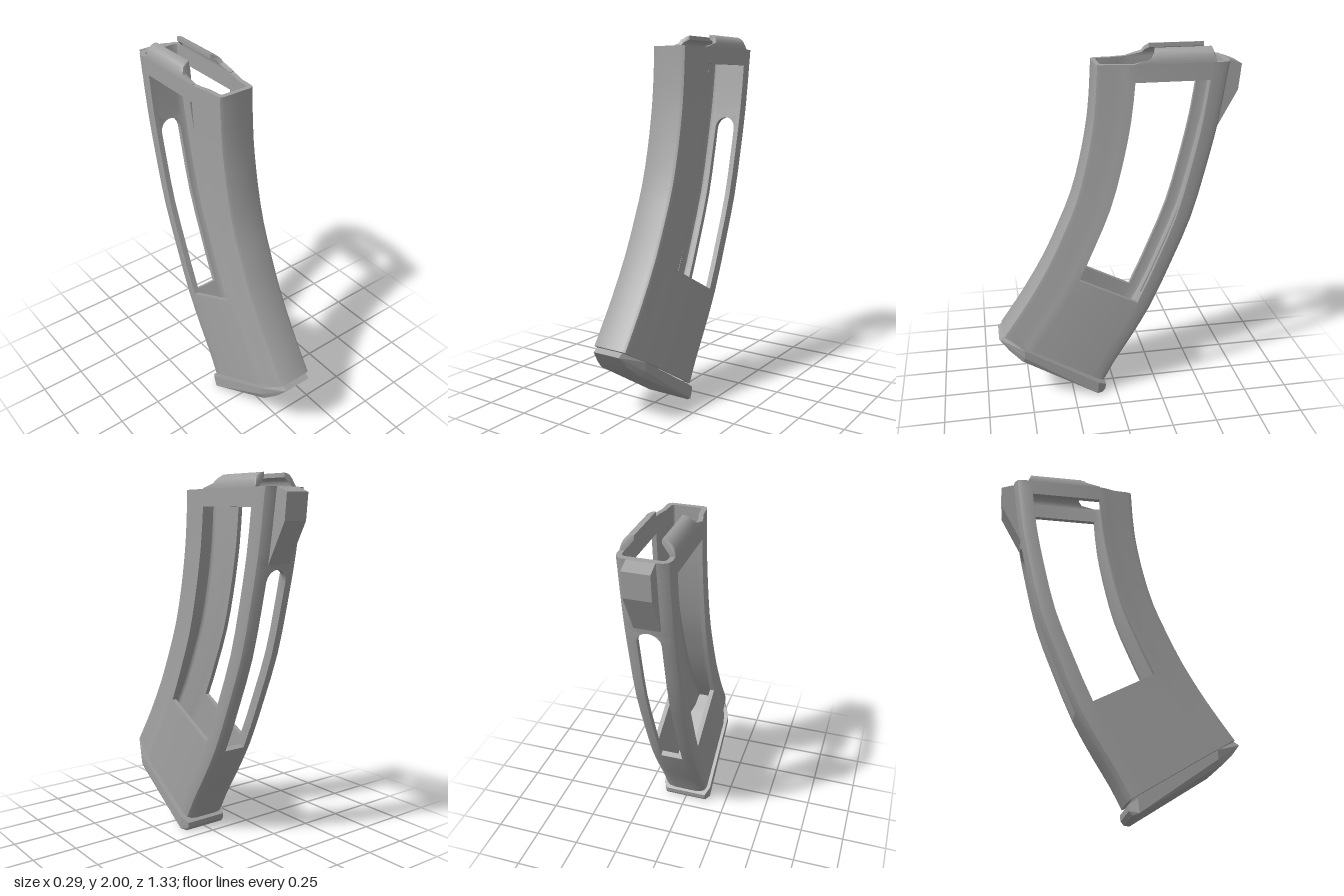
import * as THREE from 'three';
import { toCreasedNormals } from 'three/addons/utils/BufferGeometryUtils.js';
import { ConvexGeometry } from 'three/addons/geometries/ConvexGeometry.js';

// Thick-walled grid surface: rows run down, columns run right as seen from outside.
// point(i, j, inner) gives a corner, solid(i, j) tells whether a cell is filled.
function thickShell(rows, cols, point, solid, wrap) {
  const pos = [];
  const quad = (a, b, c, d) => {
    for (const p of [a, b, c, a, c, d]) pos.push(p.x, p.y, p.z);
  };
  const filled = (i, j) => {
    if (wrap) j = (j + cols) % cols;
    return i >= 0 && j >= 0 && i < rows && j < cols && solid(i, j);
  };
  for (let i = 0; i < rows; i++) {
    for (let j = 0; j < cols; j++) {
      if (!filled(i, j)) continue;
      const corners = [[i, j], [i + 1, j], [i + 1, j + 1], [i, j + 1]];
      const o = corners.map(([r, c]) => point(r, c, false));
      const n = corners.map(([r, c]) => point(r, c, true));
      quad(...o);
      quad(n[3], n[2], n[1], n[0]);
      // close the wall thickness along open edges
      const next = [[i, j - 1], [i + 1, j], [i, j + 1], [i - 1, j]];
      next.forEach(([r, c], k) => {
        const m = (k + 1) % 4;
        if (!filled(r, c)) quad(o[m], o[k], n[k], n[m]);
      });
    }
  }
  const g = new THREE.BufferGeometry();
  g.setAttribute('position', new THREE.Float32BufferAttribute(pos, 3));
  return toCreasedNormals(g, 0.6);
}

const curve = pts => new THREE.CatmullRomCurve3(pts.map(([z, y]) => new THREE.Vector3(0, y, z)));

// Curved front and back edges of the body, paired as [z, y]
const frontEdge = curve([[0.106, 1.93], [0.11, 1.84], [0.125, 1.65], [0.17, 1.4], [0.225, 1.2],
  [0.295, 1.03], [0.381, 0.845], [0.5, 0.64], [0.6, 0.49], [0.645, 0.425]]);
const backEdge = curve([[-0.593, 1.93], [-0.58, 1.84], [-0.548, 1.62], [-0.485, 1.33], [-0.42, 1.08],
  [-0.32, 0.82], [-0.2, 0.54], [-0.09, 0.345], [0.005, 0.19], [0.065, 0.075]]);

// Half cross-section: [fraction from front to back, half width]
const outerHalf = [[0, 0], [0, 0.082], [0.012, 0.098], [0.04, 0.104], [0.15, 0.108], [0.22, 0.122],
  [0.29, 0.13], [0.855, 0.13], [0.93, 0.13], [0.97, 0.122], [0.992, 0.1], [1, 0.063], [1, 0]];
const innerHalf = [[0.035, 0], [0.035, 0.068], [0.045, 0.076], [0.06, 0.079], [0.15, 0.083], [0.22, 0.097],
  [0.29, 0.105], [0.855, 0.105], [0.925, 0.105], [0.945, 0.1], [0.955, 0.085], [0.955, 0.063], [0.955, 0]];

const SLOT_TOP = 2.3, SLOT_ARCH = 0.21, OPENING_END = 6;
const rowsAt = [0, 0.5, 1, 1.5, 2, 2.2, 2.3, 2.32, 2.36, 2.43, 2.51, 2.75,
  3, 3.5, 4, 4.5, 5, 5.5, 6, 6.5, 7, 7.5, 8, 8.5, 9];

function bodyGeometry() {
  const point = (i, j, inner) => {
    const t = rowsAt[i], k = j <= 12 ? j : 24 - j;
    let [s, x] = (inner ? innerHalf : outerHalf)[k];
    // round arch at the top of the back slot
    if (k === 11 && t >= SLOT_TOP && t < SLOT_TOP + SLOT_ARCH) {
      const u = 1 - (t - SLOT_TOP) / SLOT_ARCH;
      x = Math.max(0.01, 0.063 * Math.sqrt(Math.max(0, 1 - u * u)));
    }
    const p = frontEdge.getPoint(t / 9).lerp(backEdge.getPoint(t / 9), s);
    p.x = j <= 12 ? x : -x;
    return p;
  };
  const solid = (i, j) => {
    const t = rowsAt[i];
    const sideWindow = (j === 6 || j === 17) && t >= 1 && t < OPENING_END;
    const backSlot = (j === 11 || j === 12) && t >= SLOT_TOP && t < OPENING_END;
    return !sideWindow && !backSlot;
  };
  return thickShell(rowsAt.length - 1, 24, point, solid, true);
}

// Inward-curling lip: [z, how far it curls]
function lipGeometry(side) {
  const stations = [[-0.09, 0.03], [-0.17, 0.24], [-0.185, 0.5], [-0.2, 1], [-0.495, 1], [-0.51, 0.03]];
  const steps = 8, last = stations.length - 1;
  return thickShell(steps, last, (i, j, inner) => {
    const [z, curl] = stations[side > 0 ? j : last - j];
    const a = (1 - i / steps) * curl * Math.PI / 2;
    const rx = inner ? 0.04 : 0.065, ry = inner ? 0.048 : 0.07;
    return new THREE.Vector3(side * (0.065 + rx * Math.cos(a)), 1.93 + ry * Math.sin(a), z);
  }, () => true, false);
}

// Wedge-shaped catch on the back
function catchGeometry() {
  const shape = new THREE.Shape([[-0.57, 1.93], [-0.597, 1.93], [-0.662, 1.905], [-0.65, 1.77],
    [-0.537, 1.56], [-0.515, 1.56]].map(([z, y]) => new THREE.Vector2(z, y)));
  const g = new THREE.ExtrudeGeometry(shape, { depth: 0.136, bevelEnabled: false });
  return g.translate(0, 0, -0.068).rotateY(-Math.PI / 2);
}

// Sloping floor plate with chamfered corners: [z, y, half width]
function plateGeometry() {
  const half = [[0.667, 0.4, 0.08], [0.64, 0.418, 0.08], [0.53, 0.349, 0.147], [0.53, 0.3, 0.147],
    [0.614, 0.333, 0.1], [0.545, 0.272, 0.13], [0.11, 0.084, 0.147], [0.116, 0.012, 0.147],
    [0.064, 0.055, 0.125], [0.068, 0.025, 0.125], [0.085, 0.003, 0.125], [0.116, 0.002, 0.13]];
  const pts = half.flatMap(([z, y, x]) => [new THREE.Vector3(x, y, z), new THREE.Vector3(-x, y, z)]);
  return new ConvexGeometry(pts);
}

export function createModel() {
  const grey = new THREE.MeshStandardMaterial({ color: 0xa0a0a0 });
  grey.name = 'grey';
  const group = new THREE.Group();
  group.name = 'curvedCase';
  const add = (name, geometry) => {
    const mesh = new THREE.Mesh(geometry, grey);
    mesh.name = name;
    group.add(mesh);
  };
  add('body', bodyGeometry());
  add('leftLip', lipGeometry(1));
  add('rightLip', lipGeometry(-1));
  add('backCatch', catchGeometry());
  add('floorPlate', plateGeometry());
  return group;
}
